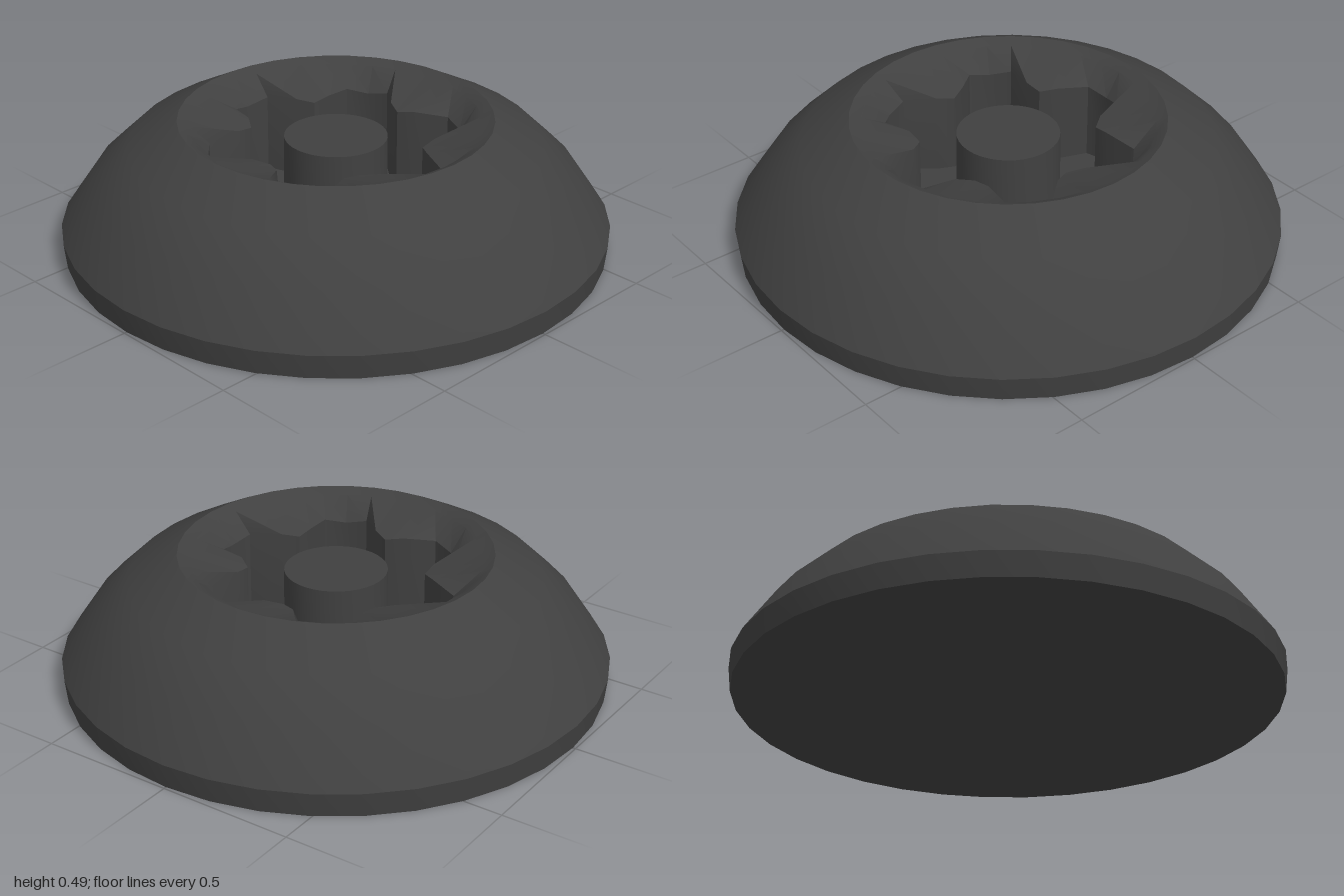
import * as THREE from 'three';
import { toCreasedNormals } from 'three/addons/utils/BufferGeometryUtils.js';

const SEGMENTS = 36;
const FLOOR = 0.1;

// Six-lobed socket outline, one entry per 10 degrees starting at a lobe tip
const LOBE_RADIUS = [0.47, 0.455, 0.355, 0.32, 0.355, 0.455];
const LOBE_TOP = [0.375, 0.395, 0.41, 0.4, 0.41, 0.395];

const material = new THREE.MeshStandardMaterial({ color: 0x404040 });

function lathe(profile) {
  return new THREE.LatheGeometry(profile.map(([r, y]) => new THREE.Vector2(r, y)), SEGMENTS);
}

function addPart(group, name, geometry, creaseDegrees) {
  const creased = toCreasedNormals(geometry, THREE.MathUtils.degToRad(creaseDegrees));
  const mesh = new THREE.Mesh(creased, material);
  mesh.name = name;
  group.add(mesh);
}

// Countersunk rim that blends from a circle into the star-shaped well
function socketGeometry() {
  const profile = [[0.57, 0.485], [0.53, 0.465], [0.4, 0.4], [0.4, FLOOR], [0, FLOOR]];
  const geometry = lathe(profile);
  const position = geometry.attributes.position;
  for (let i = 0; i <= SEGMENTS; i++) {
    const angle = (i / SEGMENTS) * Math.PI * 2;
    const r = LOBE_RADIUS[i % 6];
    for (const j of [2, 3]) {
      const y = j === 2 ? LOBE_TOP[i % 6] : FLOOR;
      position.setXYZ(i * profile.length + j, r * Math.sin(angle), y, r * Math.cos(angle));
    }
  }
  return geometry;
}

export function createModel() {
  const group = new THREE.Group();
  group.name = 'screwHead';

  // Domed outer shell with its flat underside
  addPart(group, 'domedHead', lathe([
    [0, 0], [0.99, 0], [1, 0.09], [0.885, 0.26], [0.75, 0.39], [0.58, 0.48], [0.57, 0.485],
  ]), 25);

  // Star socket
  addPart(group, 'starSocket', socketGeometry(), 32);

  // Centre pin, slightly wider at its foot
  addPart(group, 'centrePin', lathe([
    [0.21, FLOOR], [0.19, 0.13], [0.187, 0.41], [0, 0.41],
  ]), 30);

  return group;
}
